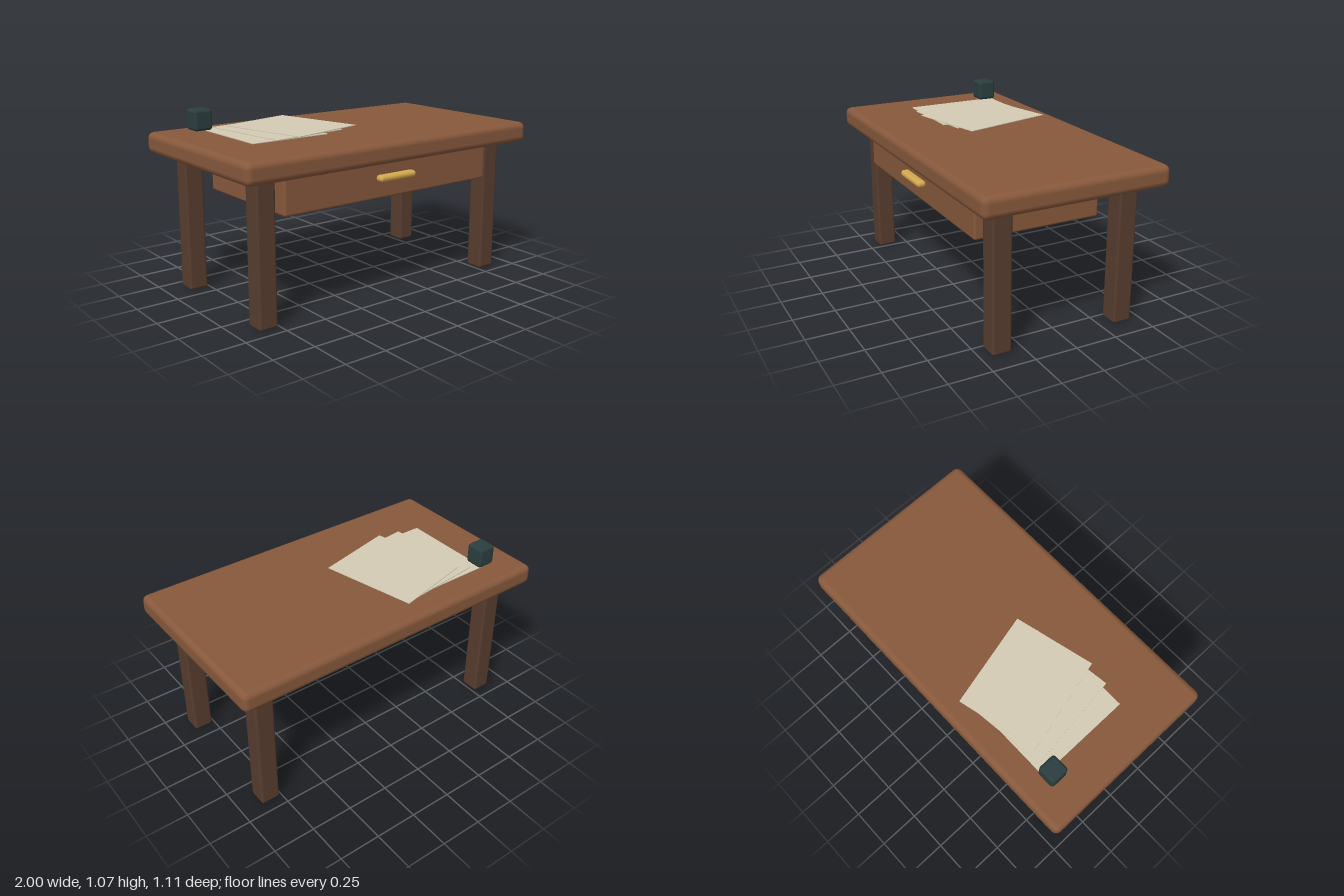
import * as THREE from 'three';
import { RoundedBoxGeometry } from 'three/addons/geometries/RoundedBoxGeometry.js';

const material = (name, color) => {
  const m = new THREE.MeshStandardMaterial({ color });
  m.name = name;
  return m;
};

export function createModel() {
  const wood = material('warm wood', 0x88593c);
  const darkWood = material('dark wood', 0x583d2f);
  const brass = material('brass', 0xd4a950);
  const cream = material('cream paper', 0xd4ccb4);
  const slate = material('dark slate', 0x2b3e3f);

  const desk = new THREE.Group();
  desk.name = 'desk';

  // Rounded block given by its size and centre
  const block = (name, mat, [w, h, d], [x, y, z], radius, segments = 2) => {
    const mesh = new THREE.Mesh(new RoundedBoxGeometry(w, h, d, segments, radius), mat);
    mesh.name = name;
    mesh.position.set(x, y, z);
    desk.add(mesh);
    return mesh;
  };

  // Table top
  block('tableTop', wood, [2, 0.123, 1.108], [0, 0.8715, 0], 0.037);

  // Four legs
  for (const [side, sx] of [['left', 1], ['right', -1]]) {
    for (const [end, sz] of [['Front', 1], ['Back', -1]]) {
      block(`${side}${end}Leg`, darkWood, [0.115, 0.83, 0.115], [sx * 0.82, 0.415, sz * 0.381], 0.015);
    }
  }

  // Drawer box and its pull
  block('drawer', wood, [1.46, 0.228, 0.754], [0, 0.716, 0.09], 0.013);
  block('drawerPull', brass, [0.26, 0.039, 0.055], [0, 0.723, 0.491], 0.019, 3);

  // Fanned sheets of paper, each turned a little further
  const sheet = new THREE.BoxGeometry(0.49, 0.004, 0.58);
  [-0.49, -0.394, -0.3].forEach((x, i) => {
    const paper = new THREE.Mesh(sheet, cream);
    paper.name = `paperSheet${i + 1}`;
    paper.position.set(x, 0.942 + i * 0.007, -0.108);
    paper.rotation.y = i * 0.12;
    desk.add(paper);
  });

  // Inkwell on the corner of the sheets
  block('inkwell', slate, [0.113, 0.123, 0.113], [-0.759, 1.007, -0.355], 0.018);

  return desk;
}
